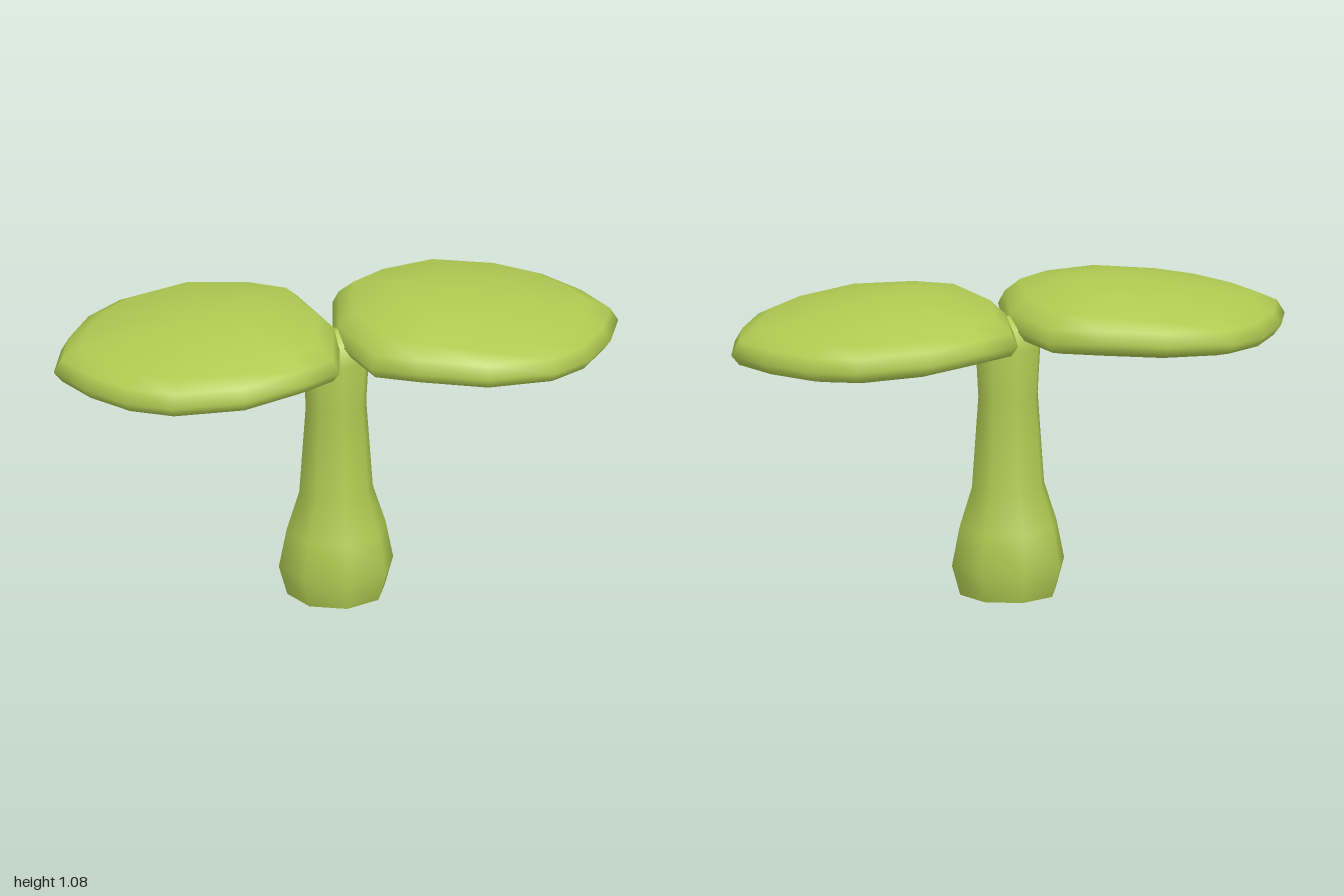
import * as THREE from 'three';
import { mergeVertices } from 'three/addons/utils/BufferGeometryUtils.js';

// Half outline of a leaf as [x, z], from the outer tip to the inner tip
const HALF = [[0.997, 0], [0.93, 0.175], [0.82, 0.335], [0.68, 0.435], [0.43, 0.485],
  [0.2, 0.395], [0.055, 0.295], [-0.012, 0]];
const OUTLINE = [...HALF, ...HALF.slice(1, -1).reverse().map(([x, z]) => [x, -z])];
const CENTRE_X = 0.44;

// Leaf section as [scale, height above the rim], from top middle to underside middle
const SECTION = [[0, 0.13], [0.45, 0.112], [0.83, 0.074], [0.95, 0.045], [1, 0],
  [0.95, -0.036], [0.83, -0.055], [0.45, -0.057], [0, -0.057]];

// Height of the rim along x: the leaf droops outwards
const BEND = [[-0.02, 0.942], [0.2, 0.957], [0.43, 0.952], [0.7, 0.93], [1, 0.915]];
function bend(x) {
  let i = 0;
  while (i < BEND.length - 2 && x > BEND[i + 1][0]) i++;
  const [x0, y0] = BEND[i], [x1, y1] = BEND[i + 1];
  return y0 + (y1 - y0) * (x - x0) / (x1 - x0);
}

function leafGeometry() {
  const pos = [], index = [], n = OUTLINE.length;
  SECTION.forEach(([s, h], r) => OUTLINE.forEach(([ox, oz], i) => {
    const x = CENTRE_X + (ox - CENTRE_X) * s;
    // the crown is a little fuller towards the stem
    const swell = h > 0.07 && x < CENTRE_X ? 0.05 * (CENTRE_X - x) : 0;
    pos.push(x, bend(x) + h + swell, oz * s);
    if (r === SECTION.length - 1) return;
    const a = r * n + i, c = r * n + (i + 1) % n;
    if (r > 0) index.push(a, c, a + n);
    if (r < SECTION.length - 2) index.push(c, c + n, a + n);
  }));
  const geo = new THREE.BufferGeometry();
  geo.setAttribute('position', new THREE.Float32BufferAttribute(pos, 3));
  geo.setIndex(index);
  const merged = mergeVertices(geo);
  merged.computeVertexNormals();
  return merged;
}

export function createModel() {
  const group = new THREE.Group();
  const green = new THREE.MeshStandardMaterial({ color: 0xb0cb52, side: THREE.DoubleSide });
  green.name = 'leaf green';

  // Bulbous stem, open at the bottom
  const profile = [[0.172, 0], [0.202, 0.105], [0.175, 0.24], [0.13, 0.38], [0.107, 0.7],
    [0.117, 0.88], [0.09, 0.95], [0, 0.98]].map(([r, y]) => new THREE.Vector2(r, y));
  const stem = new THREE.Mesh(new THREE.LatheGeometry(profile, 8), green);
  stem.name = 'stem';
  group.add(stem);

  // Pair of opposite leaves
  const geo = leafGeometry();
  ['leftLeaf', 'rightLeaf'].forEach((name, i) => {
    const leaf = new THREE.Mesh(geo, green);
    leaf.name = name;
    leaf.rotation.y = i * Math.PI;
    group.add(leaf);
  });
  return group;
}
